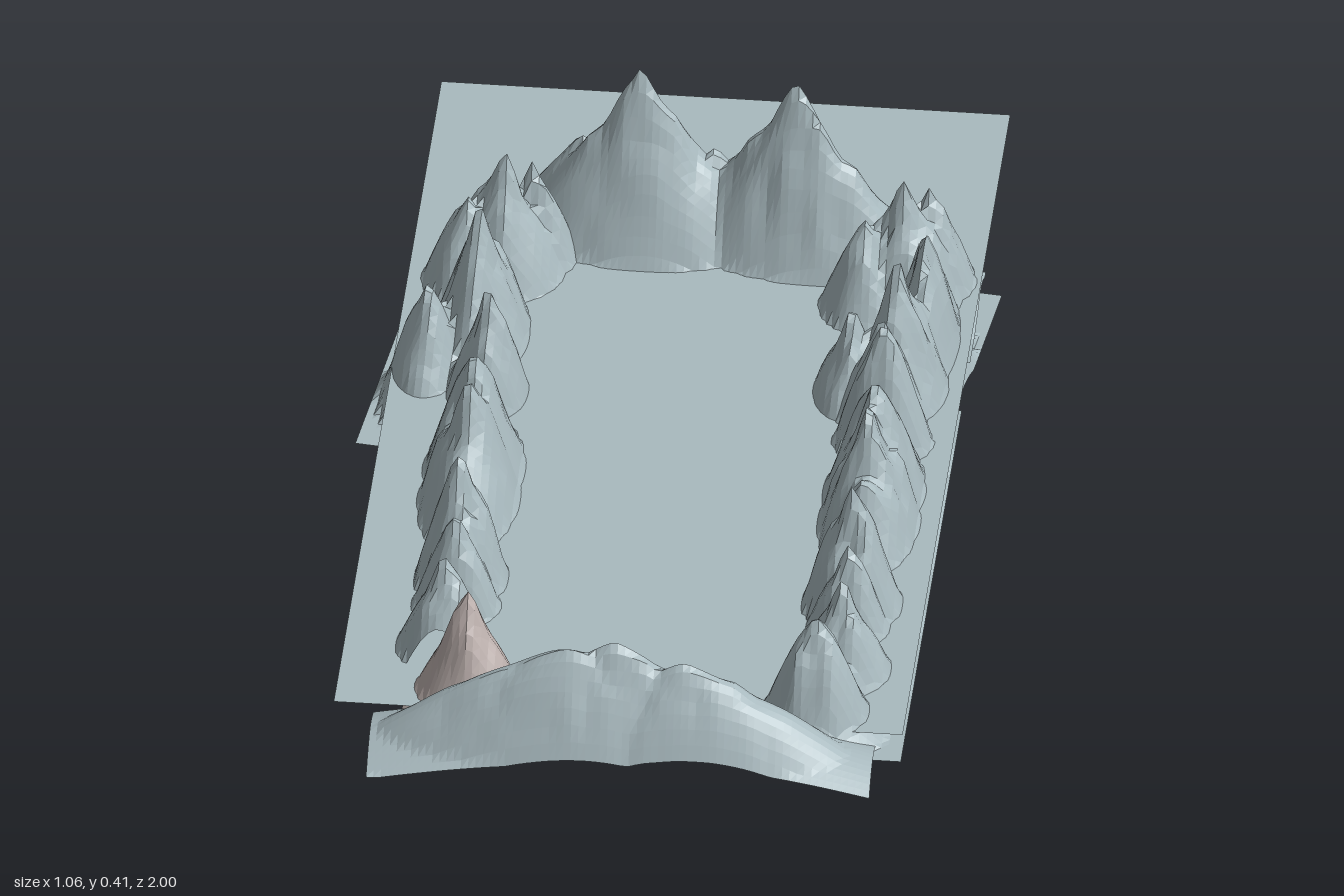
import * as THREE from 'three';

const stone = new THREE.MeshStandardMaterial({ color: 0xa9babf, flatShading: true, side: THREE.DoubleSide });
const warmStone = new THREE.MeshStandardMaterial({ color: 0xbcb0ad, flatShading: true, side: THREE.DoubleSide });

// Smooth value noise in 0..1
const hash = (i, j) => { const s = Math.sin(i * 127.1 + j * 311.7) * 43758.5453; return s - Math.floor(s); };
function noise(x, z) {
  const i = Math.floor(x), j = Math.floor(z), u = x - i, v = z - j;
  const mix = THREE.MathUtils.lerp;
  return mix(mix(hash(i, j), hash(i + 1, j), u), mix(hash(i, j + 1), hash(i + 1, j + 1), u), v);
}

// Hill height: [x, top, z, radiusX, radiusZ, sharpness, turn]; the radii hold where it meets the ground sheet
function hillHeight([hx, top, hz, rx, rz, power = 1.7, turn = 0], x, z, base, rough) {
  const dx = x - hx, dz = z - hz, c = Math.cos(turn), s = Math.sin(turn);
  const t = Math.hypot((dx * c + dz * s) / rx, (dz * c - dx * s) / rz);
  const cut = 0.07 - base;
  if (t >= 1) return Math.max(0, cut * (1 - (t - 1) / 0.4));
  const jag = 1 - rough * noise(x * 32 + 9, z * 32 + 5) * Math.min(1, t * 3);
  return cut + (top - 0.07) * (1 - Math.pow(t, power)) * jag;
}

// Rectangular sheet pushed up into hills
function terrain(name, [cx, cz, w, d, turn = 0], base, hills, rough = 0.42, material = stone) {
  const step = 0.0125;
  const geo = new THREE.PlaneGeometry(w, d, Math.round(w / step), Math.round(d / step)).rotateX(-Math.PI / 2);
  geo.rotateY(turn).translate(cx, 0, cz);
  const p = geo.attributes.position;
  for (let i = 0; i < p.count; i++) {
    const x = p.getX(i), z = p.getZ(i);
    p.setY(i, base + Math.max(...hills.map(h => hillHeight(h, x, z, base, rough))));
  }
  geo.computeVertexNormals();
  const mesh = new THREE.Mesh(geo, material);
  mesh.name = name;
  return mesh;
}

export function createModel() {
  const group = new THREE.Group();
  group.name = 'mountainValley';

  // Flat valley floor
  const ground = new THREE.Mesh(new THREE.PlaneGeometry(0.98, 1.835).rotateX(-Math.PI / 2), stone);
  ground.position.set(0.01, 0.07, -0.083);
  ground.name = 'valleyFloor';
  group.add(ground);

  // Two tall peaks closing the back
  group.add(terrain('backMountains', [0.04, -0.6, 0.78, 0.32], 0.035, [
    [-0.095, 0.415, -0.6, 0.22, 0.12, 1.0, 0.05],
    [-0.2, 0.24, -0.64, 0.12, 0.1, 1.2],
    [0.175, 0.415, -0.585, 0.23, 0.115, 1.0, 0.16],
    [0.03, 0.24, -0.62, 0.12, 0.1, 1.2],
  ], 0.2));

  // Wide ridge closing the front
  group.add(terrain('frontRidge', [0.022, 0.9, 0.865, 0.18, 0.028], 0.035, [
    [-0.07, 0.26, 0.9, 0.33, 0.1, 1.3],
    [0.01, 0.27, 0.89, 0.28, 0.1, 1.2],
    [0.13, 0.24, 0.9, 0.28, 0.1, 1.3],
  ], 0.12));

  // Low-lying cliff sheets beside the back, both slightly turned
  group.add(terrain('rightCliffs', [-0.36, -0.27, 0.28, 0.53, -0.115], 0, [
    [-0.34, 0.355, -0.27, 0.085, 0.15, 1.4],
    [-0.42, 0.24, -0.17, 0.06, 0.1],
    [-0.31, 0.3, -0.1, 0.07, 0.09],
  ]));
  group.add(terrain('leftCliffs', [0.36, -0.32, 0.28, 0.53, -0.115], 0, [
    [0.42, 0.31, -0.32, 0.06, 0.17, 1.5],
    [0.39, 0.355, -0.18, 0.085, 0.12, 1.4],
    [0.31, 0.24, -0.17, 0.065, 0.1],
  ]));

  // Clustered spires at the back corners
  for (const [name, x, z] of [['rightCornerSpires', -0.325, -0.46], ['leftCornerSpires', 0.36, -0.45]]) {
    group.add(terrain(name, [x, z, 0.28, 0.27], 0.035, [
      [x + 0.01, 0.32, z, 0.1, 0.1],
      [x - 0.05, 0.25, z + 0.03, 0.08, 0.09],
      [x + 0.05, 0.27, z - 0.05, 0.08, 0.08],
    ]));
  }

  // Long rows of crags along both sides
  group.add(terrain('rightCrags', [-0.305, 0.29, 0.25, 0.84], 0.035, [
    [-0.31, 0.31, 0.13, 0.085, 0.16],
    [-0.31, 0.32, 0.22, 0.085, 0.17],
    [-0.3, 0.33, 0.45, 0.08, 0.09],
    [-0.3, 0.26, 0.53, 0.075, 0.07],
    [-0.31, 0.26, 0.65, 0.08, 0.085],
  ]));
  group.add(terrain('leftCrags', [0.375, 0.345, 0.25, 1.04], 0.035, [
    [0.38, 0.32, -0.02, 0.085, 0.07],
    [0.37, 0.28, -0.1, 0.08, 0.07],
    [0.38, 0.31, 0.13, 0.085, 0.16],
    [0.38, 0.32, 0.22, 0.085, 0.17],
    [0.375, 0.33, 0.46, 0.085, 0.09],
    [0.375, 0.25, 0.53, 0.07, 0.06],
    [0.38, 0.26, 0.65, 0.08, 0.085],
    [0.345, 0.27, 0.775, 0.09, 0.085],
  ]));

  // Warm-toned crag at the front corner
  group.add(terrain('warmCrag', [-0.255, 0.785, 0.22, 0.16], 0.035, [
    [-0.255, 0.275, 0.77, 0.09, 0.085, 1.4],
  ], 0.35, warmStone));

  return group;
}
